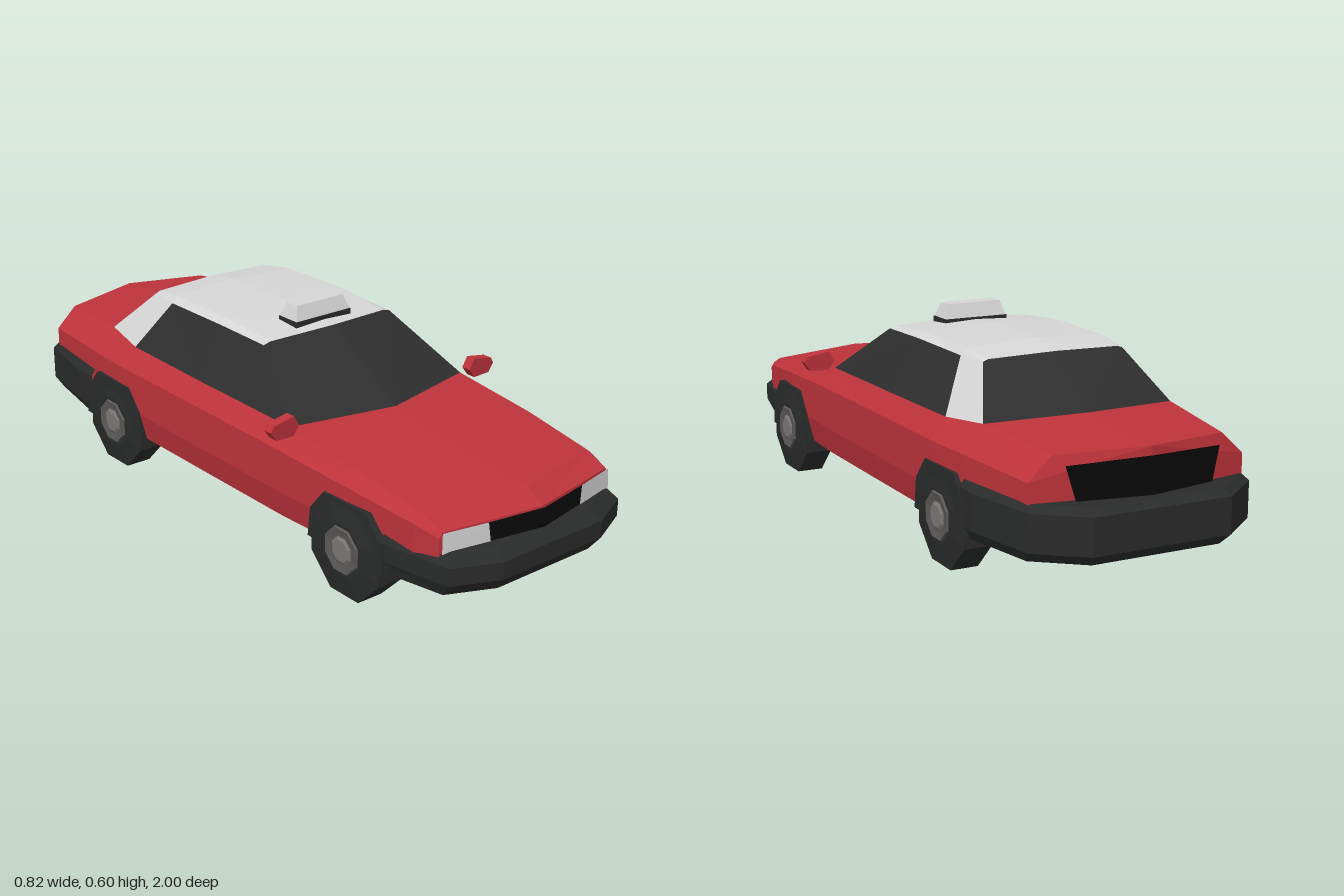
import * as THREE from 'three';

const mat = (name, color) => {
  const m = new THREE.MeshStandardMaterial({ color });
  m.name = name;
  return m;
};

export function createModel() {
  const car = new THREE.Group();
  car.name = 'taxi';
  const red = mat('red paint', 0xbe333b);
  const white = mat('white paint', 0xd6d6d6);
  const glass = mat('dark glass', 0x2e2e2e);
  const trim = mat('dark trim', 0x2a2b2b);
  const black = mat('black', 0x090909);
  const rim = mat('rim grey', 0x5c5858);
  const cap = mat('hubcap grey', 0x7c7777);

  const add = (name, geo, material, parent = car) => {
    const flat = geo.index ? geo.toNonIndexed() : geo;
    flat.computeVertexNormals();
    const mesh = new THREE.Mesh(flat, material);
    mesh.name = name;
    parent.add(mesh);
    return mesh;
  };

  // Flat faces from quads, mirrored across x and turned away from an inner point
  const panels = (name, material, quads, inner = (c) => new THREE.Vector3(0, 0.25, c.z * 0.7)) => {
    const pos = [];
    const tri = (...p) => {
      const [a, b, c] = p.map((q) => new THREE.Vector3(...q));
      const n = b.clone().sub(a).cross(c.clone().sub(a));
      if (n.length() < 1e-8) return;
      const mid = a.clone().add(b).add(c).divideScalar(3);
      const out = n.dot(mid.clone().sub(inner(mid))) > 0;
      for (const v of out ? [a, b, c] : [a, c, b]) pos.push(v.x, v.y, v.z);
    };
    for (const q of quads) {
      for (const s of [1, -1]) {
        const [a, b, c, d] = q.map(([x, y, z]) => [x * s, y, z]);
        tri(a, b, c);
        tri(a, c, d);
      }
    }
    const geo = new THREE.BufferGeometry();
    geo.setAttribute('position', new THREE.Float32BufferAttribute(pos, 3));
    return add(name, geo, material);
  };

  // Quads between neighbouring rows of points
  const loft = (rows) => {
    const quads = [];
    for (let i = 0; i + 1 < rows.length; i++)
      for (let j = 0; j + 1 < rows[i].length; j++)
        quads.push([rows[i][j], rows[i][j + 1], rows[i + 1][j + 1], rows[i + 1][j]]);
    return quads;
  };

  // Body: centre z, side z, centre y, shoulder x, y, widest x, crease y, sill x
  const sections = [
    [0.955, 0.9, 0.287, 0.298, 0.285, 0.308, 0.27, 0.29],
    [0.9, 0.83, 0.322, 0.303, 0.312, 0.328, 0.29, 0.31],
    [0.64, 0.6, 0.355, 0.313, 0.345, 0.35, 0.31, 0.33],
    [0.395, 0.32, 0.378, 0.316, 0.375, 0.36, 0.322, 0.343],
    [0, 0, 0.38, 0.32, 0.38, 0.36, 0.325, 0.343],
    [-0.43, -0.43, 0.385, 0.313, 0.383, 0.358, 0.325, 0.342],
    [-0.64, -0.59, 0.405, 0.285, 0.395, 0.35, 0.325, 0.335],
    [-0.94, -0.88, 0.385, 0.25, 0.376, 0.315, 0.315, 0.3],
  ].map(([zc, zs, yc, xs, ys, xw, yw, xb]) => [
    [0, yc, zc], [xs, ys, zs], [xw, yw, zs], [xw, 0.2, zs], [xb, 0.12, zs],
  ]);
  const endCap = (s) => [
    [s[0], s[1], s[2], [0, s[2][1], s[0][2]]],
    [[0, s[2][1], s[0][2]], s[2], s[3], [0, 0.2, s[0][2]]],
  ];
  panels('body', red, [...loft(sections), ...endCap(sections[0]), ...endCap(sections[7])]);

  // Underbody
  const floor = [[0.15, 0.97], [0.285, 0.915], [0.335, 0.74], [0.343, 0.3], [0.342, -0.43],
    [0.345, -0.65], [0.305, -0.9], [0.185, -0.98]];
  panels('underbody', black, loft(floor.map(([x, z]) => [[0, 0.115, z], [x, 0.115, z]])));

  // Bumpers: stacked outlines, each level [y, inset]
  const bumper = (name, plan, levels) => {
    const dir = Math.sign(plan[0][1]);
    const rows = levels.map(([y, inset]) =>
      plan.map(([x, z], i) => [
        x - (i ? inset * 0.45 : 0), y, z - (i < plan.length - 1 ? dir * inset : 0),
      ]));
    const top = rows[rows.length - 1].map(([x, y, z]) => [[0, y, z], [x, y, z]]);
    panels(name, trim, [...loft(rows), ...loft(top)], () => new THREE.Vector3(0, 0.18, dir * 0.75));
  };
  bumper('frontBumper', [[0, 1], [0.18, 1], [0.312, 0.94], [0.35, 0.73]],
    [[0.115, 0.03], [0.155, 0], [0.205, 0], [0.232, 0.035]]);
  bumper('rearBumper', [[0, -1], [0.2, -1], [0.325, -0.9], [0.365, -0.68], [0.362, -0.61]],
    [[0.115, 0.03], [0.145, 0], [0.245, 0], [0.262, 0.025]]);

  // Front and rear painted panels
  panels('grille', black,
    [[[0, 0.286, 0.963], [0.172, 0.285, 0.932], [0.165, 0.228, 0.934], [0, 0.228, 0.965]]]);
  panels('headlights', white,
    [[[0.17, 0.285, 0.933], [0.302, 0.285, 0.906], [0.304, 0.228, 0.908], [0.163, 0.228, 0.936]]]);
  panels('rearPanel', black,
    [[[0, 0.362, -0.947], [0.225, 0.352, -0.905], [0.2, 0.262, -0.914], [0, 0.262, -0.95]]]);

  // Roof
  const roof = [
    [0.125, 0.1, 0.54, 0.21, 0.531, 0.232, 0.525],
    [-0.1, -0.1, 0.557, 0.215, 0.547, 0.235, 0.53],
    [-0.35, -0.35, 0.554, 0.21, 0.545, 0.228, 0.525],
    [-0.462, -0.455, 0.536, 0.2, 0.531, 0.215, 0.525],
  ].map(([zc, zs, yc, xi, yi, xe, ye]) => [[0, yc, zc], [xi, yi, zs], [xe, ye, zs]]);
  panels('roof', white, loft(roof));

  // Glass and rear pillars, joining the roof to the shoulder line
  const base = sections.map((s) => s[1]);
  const edge = roof.map((r) => r[2]);
  const post = [0.319, 0.381, -0.1];
  panels('windscreen', glass, [
    [sections[3][0], base[3], roof[0][1], roof[0][0]],
    [base[3], edge[0], roof[0][1], roof[0][1]],
  ]);
  panels('rearWindow', glass, [
    [sections[6][0], base[6], roof[3][1], roof[3][0]],
    [base[6], edge[3], roof[3][1], roof[3][1]],
  ]);
  panels('sideWindows', glass, [
    [base[3], post, edge[1], edge[0]],
    [post, base[5], edge[2], edge[1]],
  ]);
  panels('rearPillars', white, [[base[5], base[6], edge[3], edge[2]]]);

  // Roof sign on a dark foot
  const foot = add('signBase', new THREE.BoxGeometry(0.2, 0.025, 0.08), trim);
  foot.position.set(0, 0.543, 0.04);
  const signGeo = new THREE.BoxGeometry(0.196, 0.042, 0.076);
  const p = signGeo.attributes.position;
  for (let i = 0; i < p.count; i++)
    if (p.getY(i) > 0) p.setXYZ(i, p.getX(i) * 0.86, p.getY(i), p.getZ(i) * 0.6);
  add('roofSign', signGeo, white).position.set(0, 0.576, 0.04);

  // Door mirrors
  for (const s of [1, -1]) {
    const outline = [[0.315, 0.395], [0.335, 0.368], [0.392, 0.37], [0.41, 0.396], [0.4, 0.413], [0.332, 0.425]];
    const shape = new THREE.Shape(outline.map(([x, y]) => new THREE.Vector2(x * s, y)));
    const geo = new THREE.ExtrudeGeometry(shape, { depth: 0.03, bevelEnabled: false });
    add(s > 0 ? 'leftMirror' : 'rightMirror', geo, red).position.z = 0.33;
  }

  // Wheel arches and wheels
  const archShape = new THREE.Shape([[-0.15, 0.118], [0.15, 0.118], [0.14, 0.205], [0.085, 0.27],
    [-0.085, 0.27], [-0.14, 0.205]].map(([x, y]) => new THREE.Vector2(x, y)));
  const lathe = (pts) => new THREE.LatheGeometry(
    pts.map(([r, h]) => new THREE.Vector2(r, h)), 8).rotateY(Math.PI / 8);
  for (const [end, z, half] of [['front', 0.6, 0.359], ['rear', -0.49, 0.363]]) {
    const arch = new THREE.ExtrudeGeometry(archShape, { depth: half * 2, bevelEnabled: false });
    add(end + 'WheelArches', arch.rotateY(-Math.PI / 2), trim).position.set(half, 0, z);
    for (const s of [1, -1]) {
      const wheel = new THREE.Group();
      wheel.name = end + (s > 0 ? 'Left' : 'Right') + 'Wheel';
      wheel.position.set(s * 0.317, 0.135, z);
      wheel.rotation.z = -s * Math.PI / 2;
      add('tyre', lathe([[0, -0.048], [0.08, -0.05], [0.146, -0.04], [0.146, 0.04], [0.08, 0.05], [0, 0.047]]), trim, wheel);
      add('rim', lathe([[0.072, 0.045], [0.066, 0.055], [0.045, 0.051], [0, 0.051]]), rim, wheel);
      add('hubcap', lathe([[0.042, 0.05], [0.032, 0.056], [0, 0.056]]), cap, wheel);
      car.add(wheel);
    }
  }
  return car;
}
